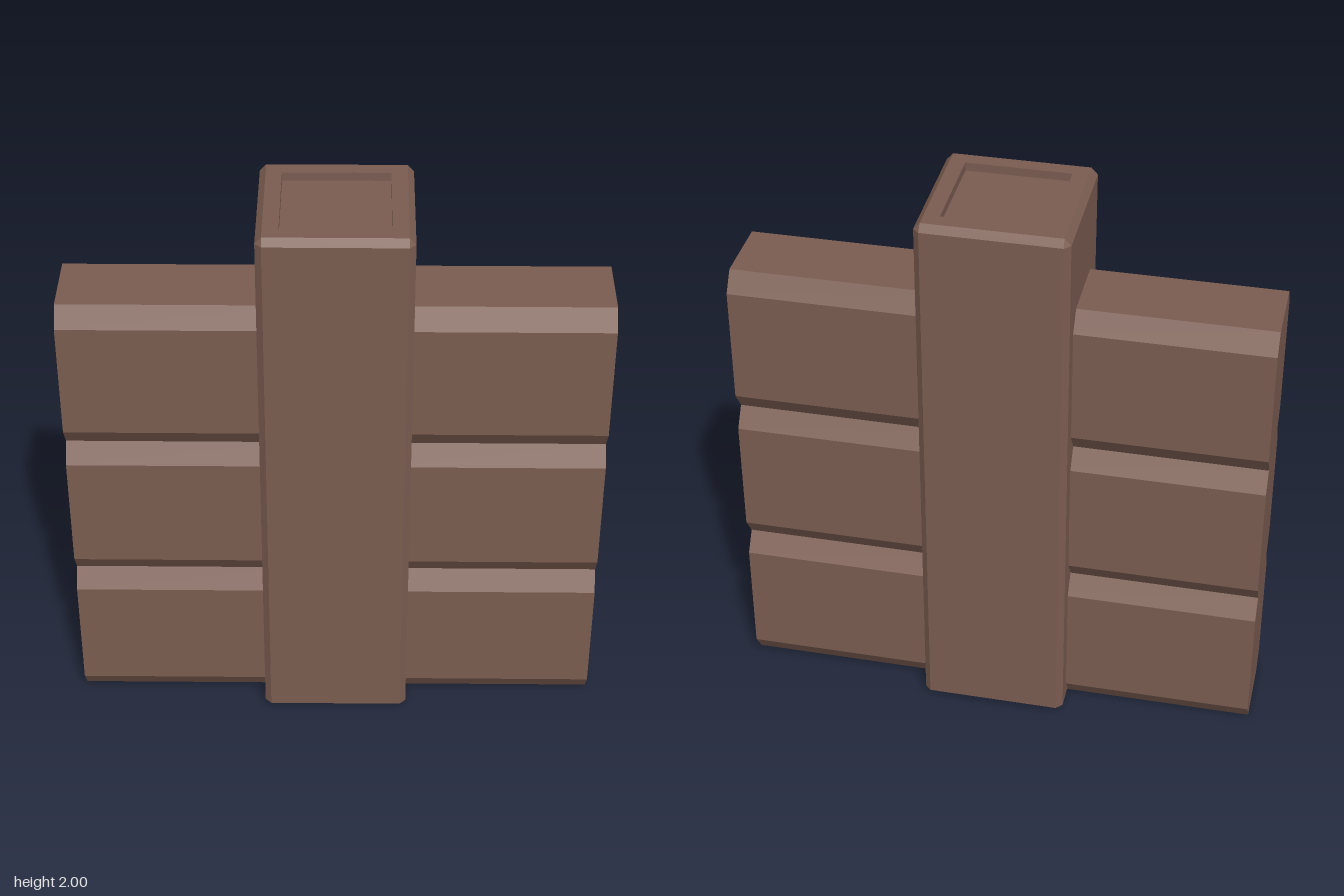
import * as THREE from 'three';

const wood = new THREE.MeshStandardMaterial({ color: 0x7a5c50 });
wood.name = 'brown wood';

// Square ring of eight points at height y, with corners cut by c
function ring(y, h, c) {
  const k = h - c;
  return [[h, k], [k, h], [-k, h], [-h, k], [-h, -k], [-k, -h], [k, -h], [h, -k]]
    .map(([x, z]) => new THREE.Vector3(x, y, z));
}

// Flat-shaded skin through a stack of rings, skipping collapsed triangles
function skin(rings) {
  const pos = [];
  const tri = (a, b, c) => {
    if (a.distanceTo(b) < 1e-6 || b.distanceTo(c) < 1e-6 || c.distanceTo(a) < 1e-6) return;
    for (const p of [a, b, c]) pos.push(p.x, p.y, p.z);
  };
  for (let r = 0; r < rings.length - 1; r++) {
    const lo = rings[r], hi = rings[r + 1];
    for (let i = 0; i < 8; i++) {
      const j = (i + 1) % 8;
      tri(lo[i], hi[i], hi[j]);
      tri(lo[i], hi[j], lo[j]);
    }
  }
  const g = new THREE.BufferGeometry();
  g.setAttribute('position', new THREE.Float32BufferAttribute(pos, 3));
  g.computeVertexNormals();
  return g;
}

// Three stacked bevelled planks as one silhouette, extruded along x
function plankGeometry(length) {
  const pitch = 0.558, bevel = 0.07, wide = 0.175, narrow = 0.127;
  const side = [[narrow, 0]];
  for (let i = 0; i < 3; i++) {
    const y = i * pitch;
    side.push([wide, y + bevel], [wide, y + pitch - bevel], [narrow, y + pitch]);
  }
  const other = side.map(([x, y]) => [-x, y]).reverse();
  const shape = new THREE.Shape([...side, ...other].map(([x, y]) => new THREE.Vector2(x, y)));
  const g = new THREE.ExtrudeGeometry(shape, { depth: length, bevelEnabled: false });
  return g.rotateY(Math.PI / 2);
}

export function createModel() {
  const model = new THREE.Group();
  model.name = 'fencePost';

  // Post with chamfered edges and a shallow recess in its top
  const post = new THREE.Mesh(skin([
    ring(0.018, 0, 0),
    ring(0.018, 0.258, 0.022),
    ring(1.976, 0.258, 0.022),
    ring(2, 0.236, 0),
    ring(2, 0.182, 0),
    ring(1.97, 0.182, 0),
    ring(1.97, 0, 0),
  ]), wood);
  post.name = 'post';
  model.add(post);

  // Plank panels on both sides, set into the post
  const inner = 0.128, outer = 0.93;
  const planks = plankGeometry(outer - inner);
  for (const [name, x] of [['leftPlanks', inner], ['rightPlanks', -outer]]) {
    const panel = new THREE.Mesh(planks, wood);
    panel.name = name;
    panel.position.x = x;
    model.add(panel);
  }
  return model;
}
